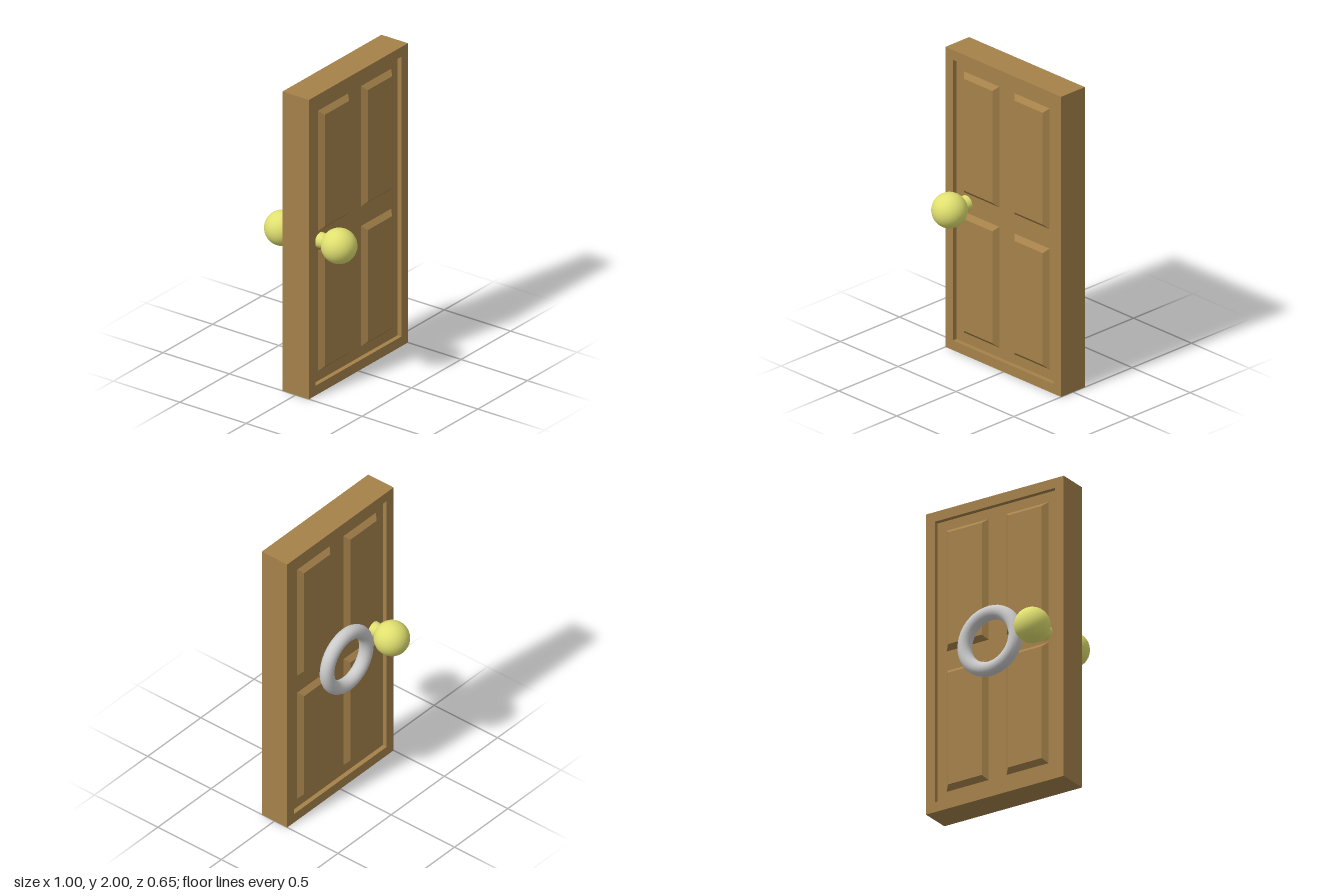
import * as THREE from 'three';

const wood = new THREE.MeshStandardMaterial({ color: 0xa5814a });
const brass = new THREE.MeshStandardMaterial({ color: 0xe0e070 });
const grey = new THREE.MeshStandardMaterial({ color: 0xcccccc });

function add(parent, name, geometry, material, x = 0, y = 0, z = 0) {
  const mesh = new THREE.Mesh(geometry, material);
  mesh.name = name;
  mesh.position.set(x, y, z);
  parent.add(mesh);
  return mesh;
}

function rectangle(PathType, w, h) {
  const path = new PathType();
  path.moveTo(-w / 2, -h / 2).lineTo(w / 2, -h / 2).lineTo(w / 2, h / 2).lineTo(-w / 2, h / 2).closePath();
  return path;
}

// Box whose outer (+z) face is inset on all four sides
function raisedPanelGeometry(w, h, d, inset) {
  const geometry = new THREE.BoxGeometry(w, h, d);
  const p = geometry.attributes.position;
  for (let i = 0; i < p.count; i++) {
    if (p.getZ(i) > 0) {
      p.setX(i, p.getX(i) - Math.sign(p.getX(i)) * inset);
      p.setY(i, p.getY(i) - Math.sign(p.getY(i)) * inset);
    }
  }
  geometry.computeVertexNormals();
  return geometry;
}

export function createModel() {
  const door = new THREE.Group();
  door.name = 'door';

  // Surrounding frame and the thinner slab inside it
  const outline = rectangle(THREE.Shape, 1, 2);
  outline.holes.push(rectangle(THREE.Path, 0.87, 1.87));
  const frame = new THREE.ExtrudeGeometry(outline, { depth: 0.2, bevelEnabled: false });
  add(door, 'frame', frame, wood, 0, 1, -0.1);
  add(door, 'slab', new THREE.BoxGeometry(0.87, 1.87, 0.14), wood, 0, 1, 0);

  const panel = raisedPanelGeometry(0.305, 0.805, 0.03, 0.03);
  const neck = new THREE.LatheGeometry(
    [[0.05, 0.07], [0.048, 0.095], [0.043, 0.108], [0.043, 0.13]].map(([r, z]) => new THREE.Vector2(r, z)), 32);
  neck.rotateX(Math.PI / 2);
  const ball = new THREE.SphereGeometry(0.111, 32, 24);

  // Both faces carry four raised panels and a knob
  for (const side of [1, -1]) {
    const face = new THREE.Group();
    face.name = side > 0 ? 'frontFace' : 'backFace';
    face.rotation.y = side > 0 ? 0 : Math.PI;
    door.add(face);
    for (const x of [-0.2175, 0.2175]) {
      for (const y of [0.5325, 1.4675]) add(face, 'raisedPanel', panel, wood, x, y, 0.085);
    }
    add(face, 'knobNeck', neck, brass, -0.348 * side, 1, 0);
    add(face, 'knob', ball, brass, -0.348 * side, 1, 0.214);
  }

  // Ring on the back
  add(door, 'ring', new THREE.TorusGeometry(0.185, 0.045, 16, 40), grey, 0, 1.01, -0.15);
  return door;
}
